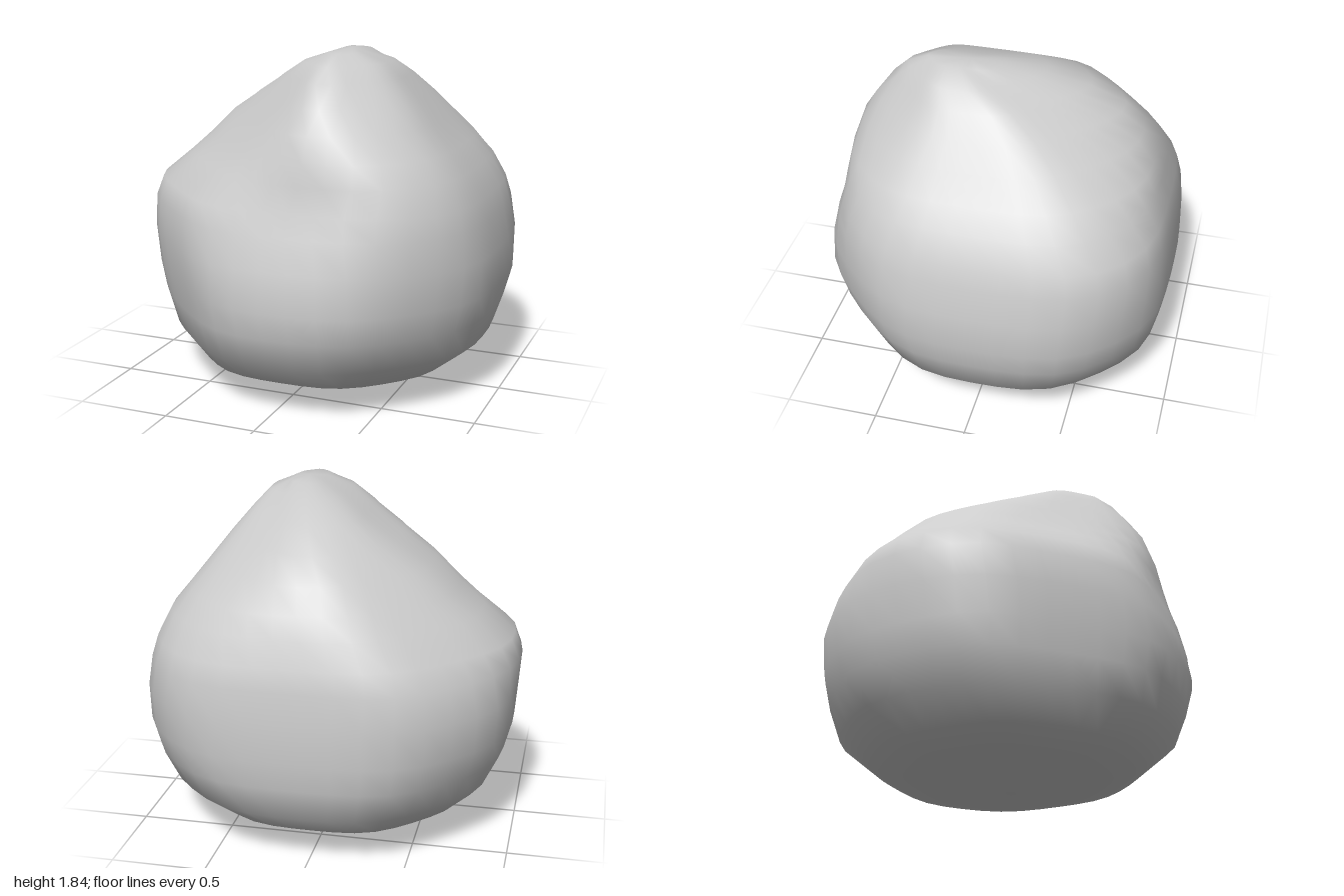
import * as THREE from 'three';

// Sections from bottom to top: height, then how far the rock reaches towards
// +x, +x-z, -z, -x-z, -x, -x+z, +z, +x+z (rounded octagons)
const SECTIONS = [
  [0.03, 0.26, 0.26, 0.25, 0.25, 0.24, 0.24, 0.24, 0.25],
  [0.07, 0.48, 0.5, 0.47, 0.49, 0.5, 0.48, 0.46, 0.48],
  [0.13, 0.71, 0.75, 0.71, 0.72, 0.72, 0.7, 0.67, 0.7],
  [0.28, 0.9, 0.94, 0.89, 0.89, 0.86, 0.81, 0.87, 0.87],
  [0.45, 0.95, 1.03, 0.92, 0.97, 0.94, 0.85, 0.91, 0.95],
  [0.6, 0.99, 1.07, 0.945, 1.01, 0.98, 0.87, 0.95, 0.99],
  [0.8, 0.985, 1.09, 0.935, 1.03, 0.995, 0.89, 0.91, 1.01],
  [0.97, 0.95, 1.08, 0.92, 0.98, 1.01, 0.87, 0.86, 1],
  [1.08, 0.92, 1.04, 0.895, 0.92, 0.97, 0.83, 0.82, 0.98],
  [1.22, 0.85, 0.95, 0.85, 0.81, 0.8, 0.68, 0.79, 0.93],
  [1.33, 0.76, 0.85, 0.81, 0.72, 0.67, 0.58, 0.78, 0.86],
  [1.46, 0.66, 0.7, 0.74, 0.6, 0.53, 0.48, 0.75, 0.75],
  [1.58, 0.57, 0.55, 0.65, 0.48, 0.34, 0.39, 0.7, 0.65],
  [1.69, 0.48, 0.4, 0.48, 0.33, 0.16, 0.31, 0.64, 0.55],
  [1.77, 0.41, 0.26, 0.25, 0.13, 0.03, 0.24, 0.54, 0.49],
  [1.82, 0.28, 0.17, 0.02, -0.05, -0.12, 0.14, 0.42, 0.41],
];

const SIDES = 40;
const ROUNDING = 12; // higher gives sharper corners between the eight facets

// One rounded octagon, counterclockwise seen from above
function sectionPoints([y, ...reach]) {
  const cx = (reach[0] - reach[4]) / 2, cz = (reach[6] - reach[2]) / 2;
  const points = [];
  for (let j = 0; j < SIDES; j++) {
    const a = (j / SIDES) * Math.PI * 2;
    let sum = 0;
    reach.forEach((d, k) => {
      const b = (k * Math.PI) / 4;
      const local = d - cx * Math.cos(b) + cz * Math.sin(b);
      sum += Math.pow(Math.max(0, Math.cos(a - b)) / local, ROUNDING);
    });
    const r = Math.pow(sum, -1 / ROUNDING);
    points.push(cx + r * Math.cos(a), y, cz - r * Math.sin(a));
  }
  return points;
}

function buildRock() {
  const pos = [0.01, 0, 0]; // bottom pole
  for (const section of SECTIONS) pos.push(...sectionPoints(section));
  pos.push(0.2, 1.835, 0.15); // top pole

  const idx = [], last = pos.length / 3 - 1, rows = SECTIONS.length;
  const at = (i, j) => 1 + i * SIDES + (j % SIDES);
  for (let j = 0; j < SIDES; j++) {
    idx.push(0, at(0, j + 1), at(0, j));
    for (let i = 0; i < rows - 1; i++) {
      idx.push(at(i, j), at(i, j + 1), at(i + 1, j));
      idx.push(at(i, j + 1), at(i + 1, j + 1), at(i + 1, j));
    }
    idx.push(at(rows - 1, j), at(rows - 1, j + 1), last);
  }
  const geo = new THREE.BufferGeometry();
  geo.setAttribute('position', new THREE.Float32BufferAttribute(pos, 3));
  geo.setIndex(idx);
  geo.computeVertexNormals();
  return geo;
}

export function createModel() {
  const group = new THREE.Group();
  group.name = 'boulder';
  const rock = new THREE.Mesh(buildRock(), new THREE.MeshStandardMaterial({ color: 0xcccccc }));
  rock.name = 'rock';
  group.add(rock);
  return group;
}
